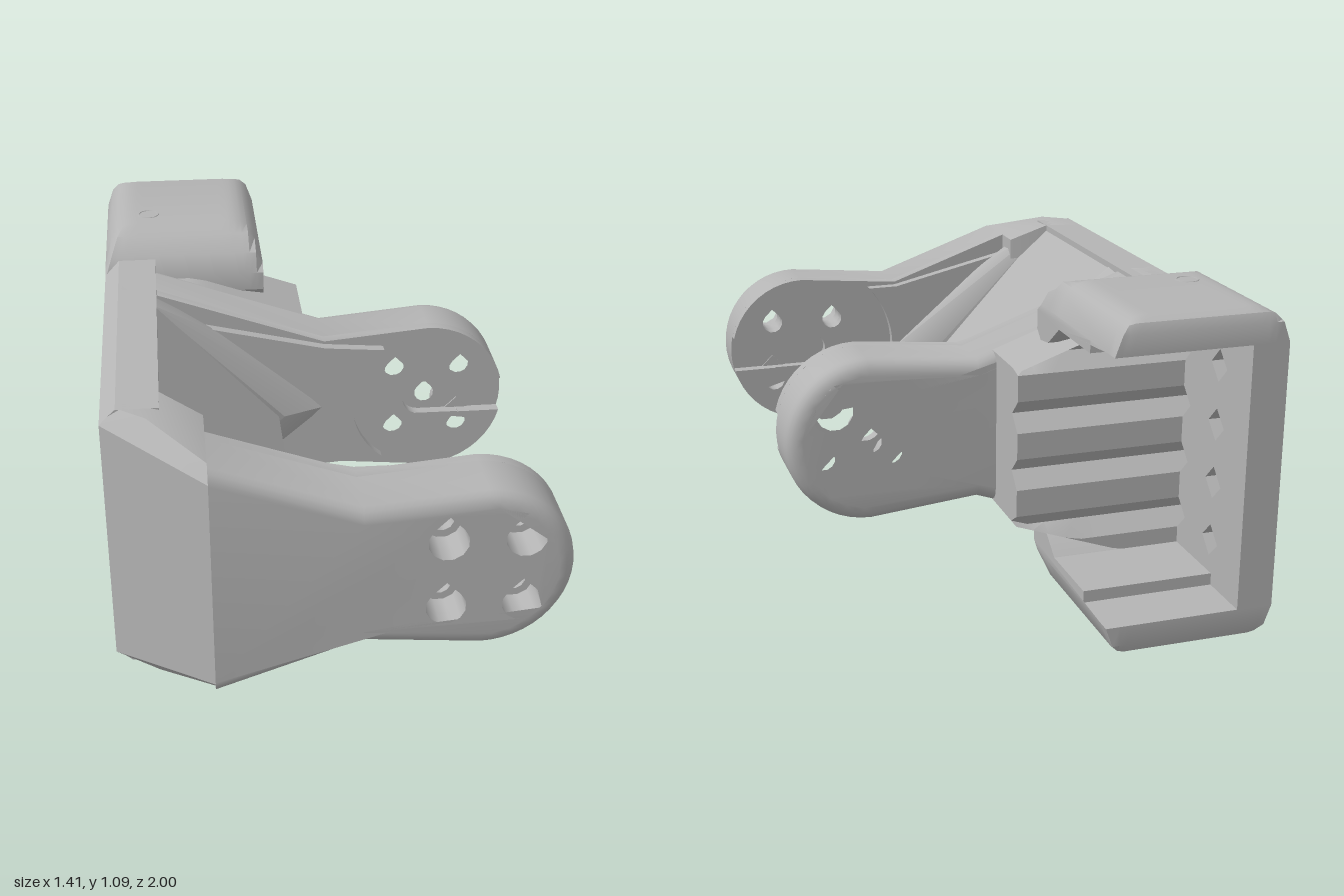
import * as THREE from 'three';
import { toCreasedNormals } from 'three/addons/utils/BufferGeometryUtils.js';
import { ConvexGeometry } from 'three/addons/geometries/ConvexGeometry.js';

const MID = 0.545;          // height of the symmetry plane; all parts are built around y = 0
const HUB = 0.42, R = 0.28; // centre and radius of the arm's round end
const grey = new THREE.MeshStandardMaterial({ color: 0xb4b4b4 });
grey.name = 'printed grey';

const V = (x, y) => new THREE.Vector2(x, y);
const arc = (cx, cy, r, a0, a1, n) => Array.from({ length: n + 1 }, (_, i) => {
  const a = a0 + (a1 - a0) * i / n;
  return V(cx + r * Math.cos(a), cy + r * Math.sin(a));
});
// Completes an upper half outline by mirroring it in y
const mirrored = (top) => [...top, ...top.map((p) => V(p.x, -p.y)).reverse()];

// Round hole with a roof-shaped point, dir = 1 up or -1 down
function teardrop(x, y, r, dir) {
  const pts = [V(x, y + dir * r * 1.41)];
  for (const p of arc(0, 0, r, Math.PI * 0.75, Math.PI * 2.25, 9)) pts.push(V(x + p.x, y + dir * p.y));
  return pts;
}

function extrude(pts, holes, depth, steps = 1) {
  const shape = new THREE.Shape(pts);
  shape.holes = holes.map((h) => new THREE.Path(h));
  return new THREE.ExtrudeGeometry(shape, { depth, steps, bevelEnabled: false });
}

// Extrusion along x; profile points are (-z, y)
function extrudeX(pts, holes, x0, x1, steps = 1) {
  return extrude(pts, holes, x1 - x0, steps).rotateY(Math.PI / 2).translate(x0, 0, 0);
}

// Limits |y| to a half height that depends on x
function limitHeight(geo, half) {
  const p = geo.attributes.position;
  for (let i = 0; i < p.count; i++) {
    const h = half(p.getX(i));
    p.setY(i, Math.max(-h, Math.min(h, p.getY(i))));
  }
  return geo;
}

// Convex solid from (x, half height, z) points, mirrored in y
function hull(points) {
  const all = [];
  for (const [x, h, z] of points) all.push(new THREE.Vector3(x, h, z), new THREE.Vector3(x, -h, z));
  return new ConvexGeometry(all);
}

const holeSpots = [];
for (const x of [0.305, 0.54]) for (const y of [-0.117, 0.117]) holeSpots.push([x, y]);

export function createModel() {
  const model = new THREE.Group();
  model.name = 'bracket';
  const body = new THREE.Group();
  body.name = 'bracketBody';
  body.position.y = MID;
  model.add(body);

  const add = (name, geo, parent = body, crease = 0.6) => {
    const mesh = new THREE.Mesh(toCreasedNormals(geo, crease), grey);
    mesh.name = name;
    parent.add(mesh);
    return mesh;
  };

  // Back plate and the slanted corner that leads to the front arm
  add('backPlate', hull([
    [-0.71, 0.42, -0.48], [-0.71, 0.42, 0.72], [-0.66, 0.465, -0.48], [-0.66, 0.465, 0.72],
    [-0.53, 0.465, -0.48], [-0.53, 0.465, 0.72],
  ]));
  add('slantedCorner', hull([
    [-0.71, 0.42, 0.6], [-0.71, 0.42, 0.73], [-0.4, 0.36, 1], [-0.66, 0.465, 0.6],
    [-0.66, 0.465, 0.71], [-0.57, 0.465, 0.78], [-0.4, 0.405, 0.95], [-0.4, 0.405, 0.67],
    [-0.53, 0.465, 0.62],
  ]));

  // Ridge between the arms, with wider shoulders at both ends
  add('centreRidge', hull([
    [-0.55, 0.465, -0.02], [-0.12, 0, -0.02], [-0.55, 0.465, 0.67], [-0.12, 0, 0.67],
  ]));
  const shoulder = (inner, outer, back) => hull([
    [-0.55, 0.46, inner], [-0.1, 0, inner], [-0.55, 0.45, outer], [0.05, 0, outer],
    [-0.3, 0.3, outer], [-0.55, 0.45, back], [0.05, 0, back],
  ]);
  add('frontShoulder', shoulder(0.66, 0.73, 0.78));
  add('rearShoulder', shoulder(-0.01, -0.07, -0.12));

  // Arm: local z = 0 is the inner face, 0.23 the rounded outer face
  function buildArm(name, root, padEdge, padRadius, dir) {
    const arm = new THREE.Group();
    arm.name = name;
    const place = (geo) => (dir > 0 ? geo.translate(0, 0, 0.77) : geo.rotateX(Math.PI).translate(0, 0, -0.1));
    const holes = (r) => holeSpots.map(([x, y]) => teardrop(x, y, r, dir));
    const neck = [...root, V(0.05, 0.245)];

    // Outer slab with its outer edge rounded over
    const centre = dir < 0 ? [teardrop(0.42, 0, 0.035, dir)] : [];
    const slab = extrude(mirrored([...neck, ...arc(HUB, 0, R, Math.PI / 2, 0, 12)]),
      [...holes(0.063), ...centre], 5, 5);
    const p = slab.attributes.position, b = 0.05;
    for (let i = 0; i < p.count; i++) {
      const x = p.getX(i), y = p.getY(i), layer = Math.round(p.getZ(i));
      const a = Math.max(0, layer - 1) / 4 * Math.PI / 2;
      p.setZ(i, layer === 0 ? 0.04 : 0.23 - b + b * Math.sin(a));
      const inHole = Math.hypot(x - HUB, y) < 0.06
        || holeSpots.some(([hx, hy]) => Math.hypot(x - hx, y - hy) < 0.095);
      if (inHole) continue;
      const inset = b * (1 - Math.cos(a));
      if (x > HUB) {
        const k = 1 - inset / R;
        p.setXY(i, HUB + (x - HUB) * k, y * k);
      } else p.setY(i, y - Math.sign(y) * inset);
    }
    slab.deleteAttribute('normal');
    add('armSlab', place(slab), arm, 0.7);

    // Inner face layer with the slot that runs out at the tip
    const slotHalf = 0.065, slotAngle = Math.asin(slotHalf / R);
    const slotted = mirrored([...neck, ...arc(HUB, 0, R, Math.PI / 2, slotAngle, 10),
      ...arc(0.4, 0, slotHalf, Math.PI / 2, Math.PI * 0.95, 5)]);
    add('slottedFace', place(extrude(slotted, holes(0.038), 0.04)), arm);

    // Floors of the counterbored holes
    for (const [x, y] of holeSpots) {
      add('holeSeat', place(extrude(teardrop(x, y, 0.066, dir), [teardrop(x, y, 0.038, dir)], 0.07)
        .translate(0, 0, 0.035)), arm);
    }

    // Raised inner pad that ends in a hollow arc around the hub
    const a0 = Math.acos((padEdge - HUB) / padRadius);
    const pad = mirrored([V(-0.4, 0.34), V(0.05, 0.235), ...arc(HUB, 0, padRadius, a0, Math.PI, 8)]);
    add('raisedPad', place(extrude(pad, [], 0.04).translate(0, 0, -0.035)), arm);
    body.add(arm);
  }
  buildArm('frontArm', [V(-0.4, 0.405)], 0.16, 0.35, 1);
  buildArm('rearArm', [V(-0.66, 0.465), V(-0.57, 0.465)], 0.26, 0.27, -1);

  // Grooved block behind the rear arm
  const grooveRows = [-0.285, -0.085, 0.112, 0.308], g = 0.054;
  const block = [V(0.25, -0.4), V(0.545, -0.4)];
  for (const y of grooveRows) block.push(V(0.545, y - g), V(0.545 - g, y), V(0.545, y + g));
  block.push(V(0.545, 0.4), V(0.25, 0.4));
  add('groovedBlock', limitHeight(extrudeX(block, [], -0.7, -0.01, 12),
    (x) => Math.min(0.4, 0.262 - 0.355 * x)), body, 0.4);

  // Holder wall with two rows of diamond holes
  const diamonds = [];
  for (const u of [0.545, 0.787]) {
    for (const y of grooveRows) diamonds.push([V(u - g, y), V(u, y - g), V(u + g, y), V(u, y + g)]);
  }
  add('holderWall', extrudeX([V(0.46, -0.435), V(1, -0.435), V(1, 0.435), V(0.46, 0.435)],
    diamonds, -0.71, -0.59));

  // Holder lips, top and bottom, with rounded long edges
  const lip = [[1, 0.5], [0.985, 0.53], [0.95, 0.545], [0.53, 0.545], [0.45, 0.525], [0.38, 0.475],
    [0.345, 0.41], [0.345, 0.345], [0.38, 0.315], [0.45, 0.325], [0.545, 0.395], [0.81, 0.395],
    [0.81, 0.435], [1, 0.435]];
  const r = 0.11;
  const lipHeight = (x) => {
    const d = Math.max(0, r - Math.min(x + 0.71, -0.145 - x));
    return 0.545 - r + Math.sqrt(Math.max(0, r * r - d * d));
  };
  for (const s of [1, -1]) {
    const geo = extrudeX(lip.map(([u, y]) => V(u, y * s)), [], -0.71, -0.145, 24);
    add(s > 0 ? 'topLip' : 'bottomLip', limitHeight(geo, lipHeight));
    const ring = new THREE.TorusGeometry(0.036, 0.006, 6, 12).rotateX(Math.PI / 2);
    add('screwHoleRim', ring.translate(-0.55, s * 0.542, -0.61));
  }
  return model;
}
